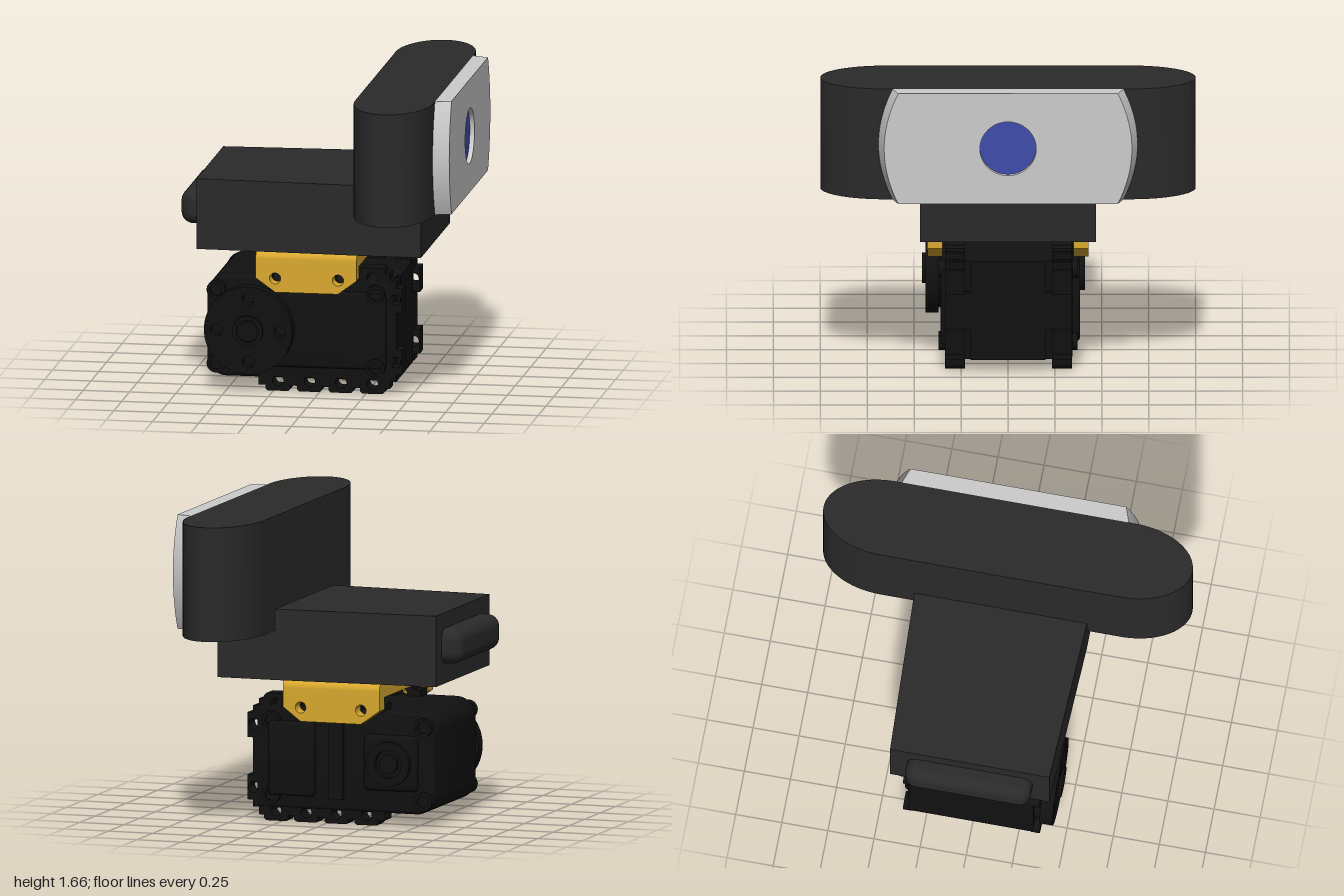
import * as THREE from 'three';
import { toCreasedNormals } from 'three/addons/utils/BufferGeometryUtils.js';
import { RoundedBoxGeometry } from 'three/addons/geometries/RoundedBoxGeometry.js';

const mat = (color) => new THREE.MeshStandardMaterial({ color });
const dark = mat(0x2a2a2a), black = mat(0x111111), gold = mat(0xd9a92f);
const grey = mat(0xcccccc), blue = mat(0x404cac);

const polygon = (pts) => new THREE.Shape(pts.map(([x, y]) => new THREE.Vector2(x, y)));

function addHole(shape, x, y, r) {
  shape.holes.push(new THREE.Path().absarc(x, y, r, 0, Math.PI * 2, true));
}

function extrude(shape, depth, curveSegments = 24, bevel = 0) {
  const g = new THREE.ExtrudeGeometry(shape, {
    depth: depth - 2 * bevel, curveSegments, bevelEnabled: bevel > 0,
    bevelSize: bevel, bevelThickness: bevel, bevelOffset: -bevel, bevelSegments: 3,
  });
  return g.translate(0, 0, bevel);
}

export function createModel() {
  const model = new THREE.Group();

  function add(name, geometry, material, x = 0, y = 0, z = 0, parent = model) {
    const mesh = new THREE.Mesh(toCreasedNormals(geometry, 0.6), material);
    mesh.name = name;
    mesh.position.set(x, y, z);
    parent.add(mesh);
    return mesh;
  }
  const box = (x0, x1, y0, y1, z0, z1) => new THREE.BoxGeometry(x1 - x0, y1 - y0, z1 - z0)
    .translate((x0 + x1) / 2, (y0 + y1) / 2, (z0 + z1) / 2);
  // Disc facing along z, between z0 and z1
  const disc = (r, z0, z1, n = 32) => new THREE.CylinderGeometry(r, r, z1 - z0, n)
    .rotateX(Math.PI / 2).translate(0, 0, (z0 + z1) / 2);

  // ---- Camera ----
  const camera = new THREE.Group();
  camera.name = 'camera';
  model.add(camera);

  // Long housing with elliptical ends
  const body = new THREE.Shape();
  body.moveTo(0.67, -0.65);
  body.absellipse(0.4575, 0.65, 0.2125, 0.35, 0, Math.PI);
  body.absellipse(0.4575, -0.65, 0.2125, 0.35, Math.PI, Math.PI * 2);
  add('cameraHousing', extrude(body, 0.615, 32).rotateX(-Math.PI / 2), dark, 0, 1.045, 0, camera);

  // Face plate with bowed ends, narrowing towards its front
  const face = new THREE.Shape();
  face.moveTo(-0.615, 1.045);
  face.lineTo(0.615, 1.045);
  face.quadraticCurveTo(0.765, 1.3525, 0.615, 1.66);
  face.lineTo(-0.615, 1.66);
  face.quadraticCurveTo(-0.765, 1.3525, -0.615, 1.045);
  addHole(face, 0, 1.3525, 0.15);
  const faceGeo = extrude(face, 0.085, 32);
  const p = faceGeo.attributes.position;
  for (let i = 0; i < p.count; i++) {
    if (p.getZ(i) > 0.05 && Math.abs(p.getX(i)) > 0.3) p.setX(i, p.getX(i) - 0.03 * Math.sign(p.getX(i)));
  }
  add('facePlate', faceGeo.rotateY(Math.PI / 2), grey, 0.67, 0, 0, camera);
  add('lens', disc(0.15, 0, 0.06, 48).rotateY(Math.PI / 2), blue, 0.67, 1.3525, 0, camera);

  // Tapered mount block and rounded rear hinge
  const block = polygon([[-0.65, -0.432], [0.245, -0.468], [0.57, -0.468], [0.57, 0.468], [0.245, 0.468], [-0.65, 0.432]]);
  add('mountBlock', extrude(block, 0.382).rotateX(-Math.PI / 2), dark, 0, 0.777, 0, camera);
  add('rearHinge', new RoundedBoxGeometry(0.22, 0.19, 0.68, 6, 0.065), dark, -0.645, 0.98, 0, camera);

  // ---- Bracket ----
  const bracket = new THREE.Group();
  bracket.name = 'bracket';
  model.add(bracket);
  const bridge = new THREE.Shape();
  bridge.moveTo(-0.43, 0.695);
  bridge.lineTo(0.43, 0.695);
  bridge.lineTo(0.43, 0.735);
  bridge.absarc(0.385, 0.735, 0.045, 0, Math.PI / 2);
  bridge.absarc(-0.385, 0.735, 0.045, Math.PI / 2, Math.PI);
  add('bracketBridge', extrude(bridge, 0.545, 8).rotateY(Math.PI / 2), gold, -0.33, 0, 0, bracket);
  for (const z of [-0.43, 0.35]) {
    const cheek = polygon([[-0.33, 0.695], [-0.33, 0.63], [-0.225, 0.555], [0.115, 0.555], [0.215, 0.63], [0.215, 0.695]]);
    for (const x of [-0.225, 0.115]) addHole(cheek, x, 0.63, 0.03);
    add('bracketCheek', extrude(cheek, 0.08), gold, 0, 0, z, bracket);
  }

  // ---- Servo ----
  const servo = new THREE.Group();
  servo.name = 'servo';
  model.add(servo);
  const part = (name, g, x = 0, y = 0, z = 0) => add(name, g, black, x, y, z, servo);

  // Case with a rounded output end
  const shell = new THREE.Shape();
  shell.moveTo(0.395, 0.07);
  shell.lineTo(0.395, 0.62);
  shell.absarc(-0.505, 0.515, 0.105, Math.PI / 2, Math.PI);
  shell.absarc(-0.505, 0.175, 0.105, Math.PI, Math.PI * 1.5);
  part('servoCase', extrude(shell, 0.68, 12, 0.02), 0, 0, -0.345);
  part('endCover', box(0.38, 0.414, 0.24, 0.45, -0.3, 0.3));
  part('endCover', box(0.38, 0.414, 0.07, 0.62, -0.2, 0.2));

  // Two mounting flanges with drilled tabs on the bottom, top and end
  const tabXs = [-0.225, -0.055, 0.115, 0.285], tabYs = [0.175, 0.515], t = 0.0675;
  const bottom = [[-0.33, 0.07], [-0.33, 0.03]];
  for (const c of tabXs) bottom.push([c - t, 0.03], [c - t, 0.012], [c - t + 0.012, 0], [c + t - 0.012, 0], [c + t, 0.012], [c + t, 0.03]);
  bottom.push([0.38, 0.03], [0.38, 0.07], [0.415, 0.07], [0.415, 0.175 - t], [0.445, 0.175 - t], [0.445, 0.175 + t], [0.415, 0.175 + t]);
  const top = bottom.map(([x, y]) => [x, 0.685 - y]).reverse();
  for (const z of [-0.34, 0.23]) {
    const flange = polygon([...bottom, ...top]);
    for (const x of tabXs) for (const y of [0.055, 0.63]) addHole(flange, x, y, 0.03);
    for (const y of tabYs) addHole(flange, 0.41, y, 0.03);
    part('mountingFlange', extrude(flange, 0.105, 10), 0, 0, z);
  }

  // Front cover, corner screws and output horn
  part('frontCover', new RoundedBoxGeometry(0.66, 0.42, 0.06, 3, 0.02), 0.03, 0.343, 0.33);
  for (const x of [-0.555, 0.305]) for (const y of [0.145, 0.545]) {
    for (const side of [-1, 1]) {
      const ring = new THREE.Shape().absarc(0, 0, 0.05, 0, Math.PI * 2);
      addHole(ring, 0, 0, 0.032);
      part('screwSeat', extrude(ring, 0.05), x, y, side > 0 ? 0.32 : -0.37);
      part('screw', disc(0.034, -0.015, 0.015, 20), x, y, side * 0.34);
    }
  }
  const horn = new THREE.Shape().absarc(0, 0, 0.238, 0, Math.PI * 2);
  for (let i = 0; i < 4; i++) {
    const a = i * Math.PI / 2;
    addHole(horn, Math.cos(a) * 0.172, Math.sin(a) * 0.172, 0.032);
  }
  part('outputHorn', extrude(horn, 0.07, 32), -0.37, 0.343, 0.37);
  part('hornBase', disc(0.21, 0.32, 0.38, 48), -0.37, 0.343, 0);
  const hub = new THREE.Shape().absarc(0, 0, 0.082, 0, Math.PI * 2);
  addHole(hub, 0, 0, 0.06);
  part('hornHub', extrude(hub, 0.03, 24), -0.37, 0.343, 0.427);
  part('hornScrew', disc(0.05, 0.42, 0.447), -0.37, 0.343, 0);

  // Rear cover panels and idler boss
  part('rearPanel', new RoundedBoxGeometry(0.3, 0.3, 0.08, 3, 0.025), -0.37, 0.343, -0.34);
  part('rearCablePanel', new RoundedBoxGeometry(0.26, 0.4, 0.08, 3, 0.02), 0.19, 0.343, -0.345);
  part('rearRib', box(-0.1, -0.02, 0.135, 0.57, -0.37, -0.32));
  const idler = new THREE.Shape().absarc(0, 0, 0.12, 0, Math.PI * 2);
  addHole(idler, 0, 0, 0.075);
  part('idlerRing', extrude(idler, 0.07, 24), -0.37, 0.343, -0.41);
  part('idlerPin', disc(0.05, -0.405, -0.34), -0.37, 0.343, 0);

  return model;
}
